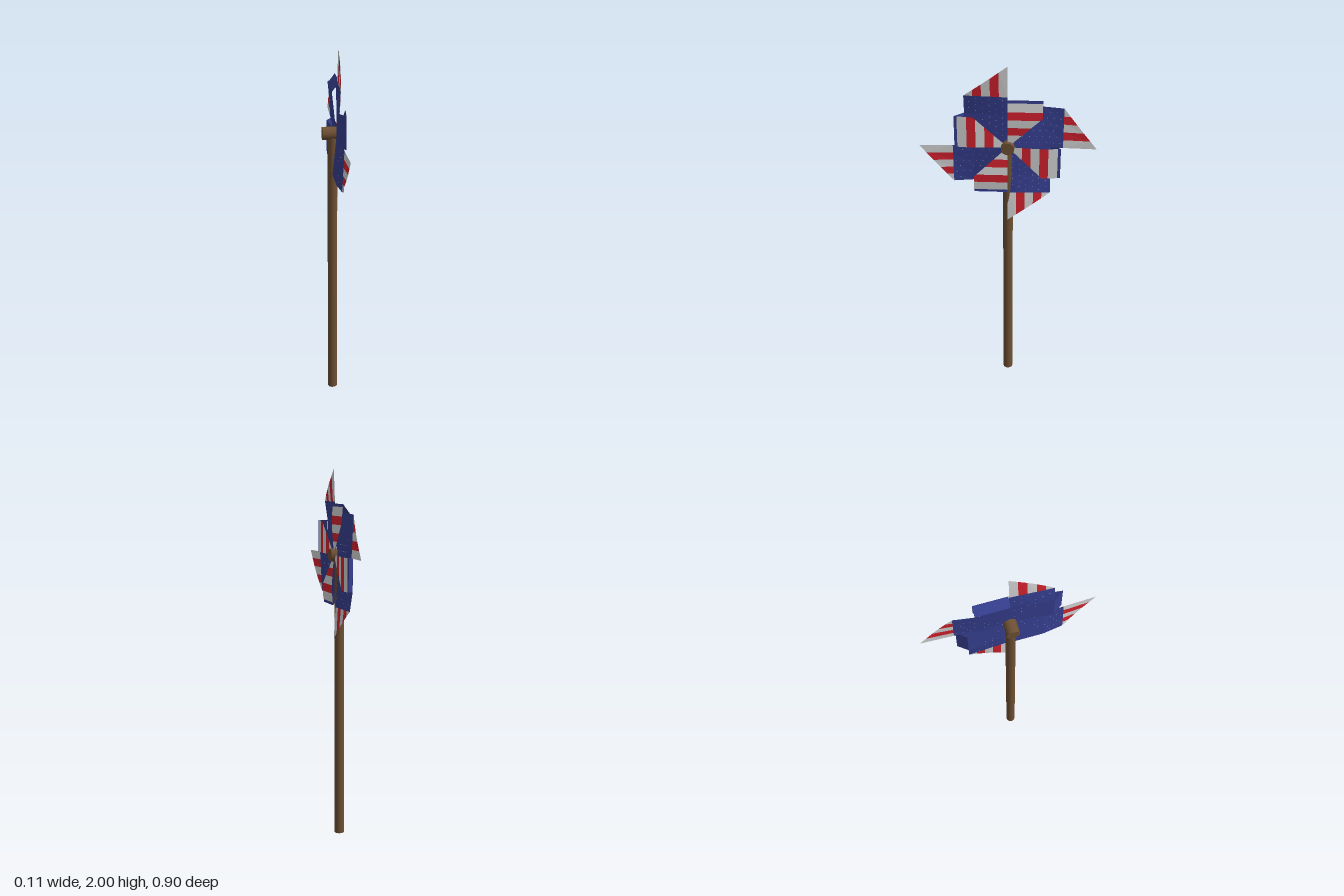
import * as THREE from 'three';

const mat = (name, color, side = THREE.DoubleSide) => {
  const m = new THREE.MeshStandardMaterial({ color, side });
  m.name = name;
  return m;
};

// Keep the part of a convex polygon [u, v] with sign * (v - limit) >= 0
function clip(poly, limit, sign) {
  const out = [];
  poly.forEach((a, i) => {
    const b = poly[(i + 1) % poly.length];
    const da = sign * (a[1] - limit), db = sign * (b[1] - limit);
    if (da >= 0) out.push(a);
    if (da * db < 0) {
      const t = da / (da - db);
      out.push([a[0] + (b[0] - a[0]) * t, limit]);
    }
  });
  return out;
}

// Bent sheet: polygons laid out in (u, v), depth along x given by a rule
function sheet(polys, depth, offset = 0) {
  const pos = [];
  const put = ([u, v]) => pos.push(depth(u, v) + offset, v, -u);
  for (const p of polys)
    for (let i = 1; i < p.length - 1; i++) [p[0], p[i], p[i + 1]].forEach(put);
  const g = new THREE.BufferGeometry();
  g.setAttribute('position', new THREE.Float32BufferAttribute(pos, 3));
  g.computeVertexNormals();
  return g;
}

const bands = (poly, edges) =>
  edges.slice(1).map((e, i) => clip(clip(poly, edges[i], 1), e, -1)).filter(p => p.length > 2);

// Depth rules of the lower blade, the rim and the folded flap
const bladeDepth = (u, v) => {
  const d = Math.max(0, u - 0.175);
  return 0.02 + d * 0.036 - v * Math.max(0, 0.105 - d * 0.52);
};
const rimDepth = (u, v) => -0.003 + (v - 0.22) * 0.76;
const flapDepth = (u, v) => v < 0.18 ? 0.03 + v * 0.072 : 0.043 - (v - 0.18) * 0.089;

export function createModel() {
  const wood = mat('brown wood', 0x6e5033, THREE.FrontSide);
  const blue = mat('navy blue', 0x363f90);
  const red = mat('red', 0xd6222e);
  const white = mat('off white', 0xd6d6d6);

  const model = new THREE.Group();
  const add = (parent, name, geo, material) => {
    const m = new THREE.Mesh(geo, material);
    m.name = name;
    parent.add(m);
    return m;
  };

  // Pole and hub
  add(model, 'pole', new THREE.CylinderGeometry(0.026, 0.026, 1.54, 24), wood).position.y = 0.77;
  const hub = add(model, 'hub', new THREE.CylinderGeometry(0.034, 0.034, 0.107, 24), wood);
  hub.rotation.z = Math.PI / 2;
  hub.position.set(-0.001, 1.55, 0);

  // Outlines of one sail
  const base = [0, 0.175].map((u, i) => {
    const w = [0.175, 0.28][i];
    return [[u, 0], [w, 0], [w, 0.22], [u, 0.22]];
  });
  const tip = [[0.28, 0], [0.45, 0], [0.28, 0.22]];
  const rim = [[0, 0.22], [0.175, 0.22], [0.175, 0.27], [0, 0.27]];
  const flap = [[0, 0], [0.175, 0.175], [0.175, 0.27], [0, 0.27]];
  const tipBands = bands(tip, [0, 0.044, 0.088, 0.132, 0.176, 0.22]);
  const flapBands = bands(flap, [0, 0.072, 0.117, 0.162, 0.207, 0.255]);
  const even = (p, i) => i % 2 === 0, odd = (p, i) => i % 2 === 1;
  const baseBands = base.flatMap(p => bands(p, [0, 0.055, 0.11, 0.165, 0.22]));

  // Tiny pale specks in staggered rows on the blue
  const specks = [];
  for (let r = 0; r < 6; r++)
    for (let c = 0; c < 7; c++) {
      const v = 0.025 + r * 0.034, u = 0.06 + c * 0.034 + (r % 2) * 0.015, s = 0.0022;
      if (u > v + 0.015 && u < 0.272)
        specks.push([[u - s, v], [u, v - s], [u + s, v], [u, v + s]]);
    }

  const pinwheel = new THREE.Group();
  pinwheel.name = 'pinwheel';
  pinwheel.position.y = 1.55;
  model.add(pinwheel);

  // Four identical sails
  for (let k = 0; k < 4; k++) {
    const sail = new THREE.Group();
    sail.name = 'sail' + (k + 1);
    sail.rotation.x = k * Math.PI / 2;
    pinwheel.add(sail);
    add(sail, 'bladeBase', sheet(baseBands, bladeDepth), blue);
    add(sail, 'foldRim', sheet([rim], rimDepth), blue);
    add(sail, 'frontSpecks', sheet(specks, bladeDepth, 0.0015), white);
    add(sail, 'backSpecks', sheet(specks, bladeDepth, -0.0015), white);
    add(sail, 'tipWhiteStripes', sheet(tipBands.filter(even), bladeDepth), white);
    add(sail, 'tipRedStripes', sheet(tipBands.filter(odd), bladeDepth), red);
    add(sail, 'flapBack', sheet(bands(flap, [0, 0.18, 0.27]), flapDepth, -0.002), blue);
    add(sail, 'flapWhiteStripes', sheet(flapBands.filter(even), flapDepth), white);
    add(sail, 'flapRedStripes', sheet(flapBands.filter(odd), flapDepth), red);
  }
  return model;
}
